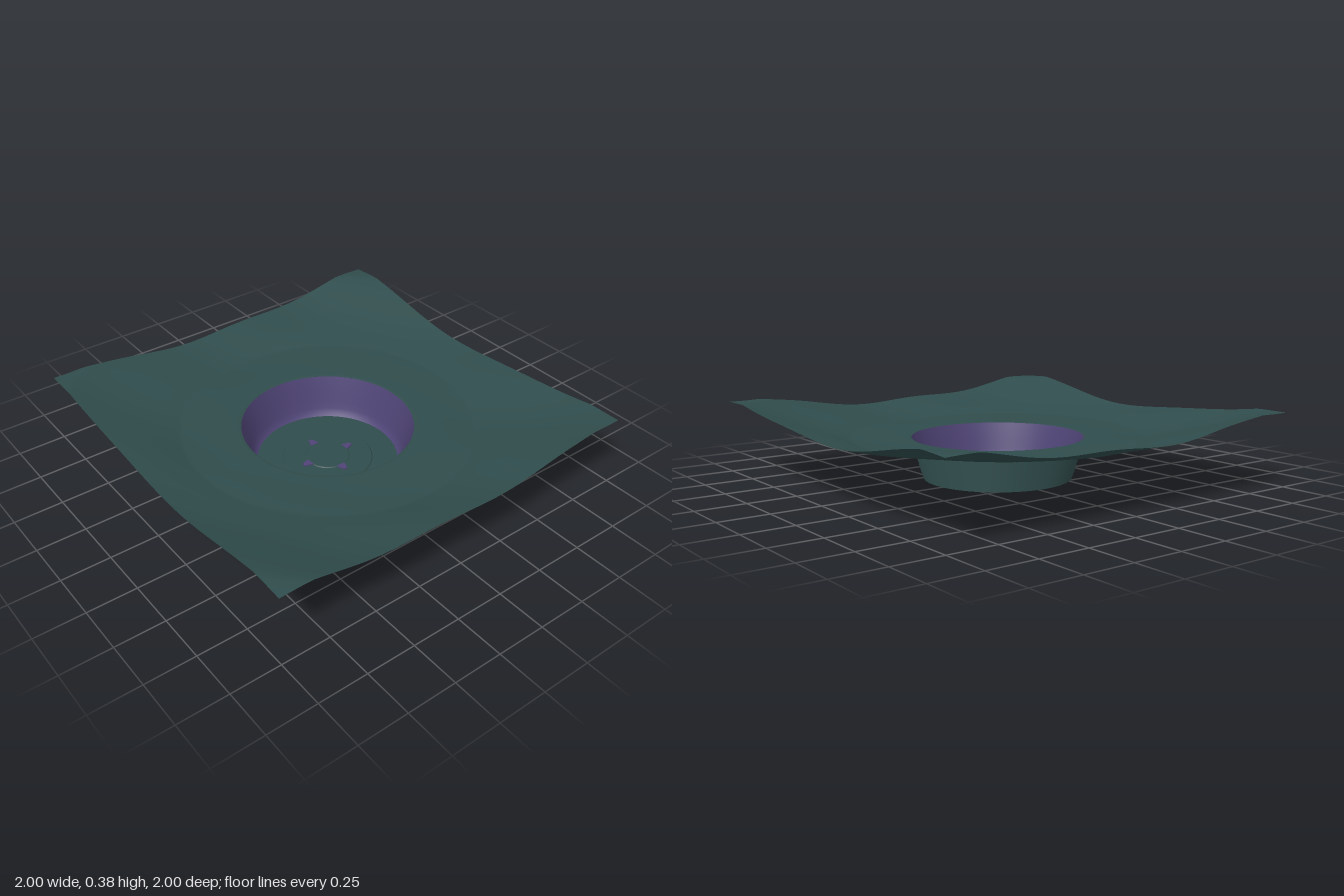
import * as THREE from 'three';
import { toCreasedNormals } from 'three/addons/utils/BufferGeometryUtils.js';

const RIM = 0.435;
const FOOT = 0.36;

// Ground: nearly level around the crater, rising to the corners, with slight diagonal ripples
function groundHeight(x, z) {
  const r = Math.hypot(x, z);
  const slope = Math.min(Math.max(r - 0.74, 0), 0.56) * 0.265;
  const t = THREE.MathUtils.smoothstep(r, RIM, 0.9);
  const ripple = 0.008 * Math.cos(5.2 * x + 8.62 * z) + 0.004 * Math.cos(7 * x - 5 * z);
  return Math.min(0.385, Math.max(0.22, 0.225 + slope + t * ripple));
}

// Steep crater wall with a rounded foot
const wallProfile = [
  [RIM, 0.222], [0.425, 0.19], [0.41, 0.14], [0.396, 0.09],
  [0.384, 0.05], [0.373, 0.025], [FOOT, 0.013],
];

// Radius of the wall at a given height
function wallRadius(y) {
  for (let i = 1; i < wallProfile.length; i++) {
    const [r1, y1] = wallProfile[i - 1];
    const [r0, y0] = wallProfile[i];
    if (y >= y0) return r0 + (r1 - r0) * (y - y0) / (y1 - y0);
  }
  return FOOT;
}

// Sheet from the circular rim out to the square border
function terrainGeometry() {
  const rings = 64, sides = 320;
  const positions = [], indices = [];
  for (let i = 0; i <= rings; i++) {
    const t = i / rings;
    for (let j = 0; j <= sides; j++) {
      const a = (j / sides) * Math.PI * 2;
      const c = Math.cos(a), s = Math.sin(a);
      const edge = 1 / Math.max(Math.abs(c), Math.abs(s));
      const r = RIM + (edge - RIM) * t;
      const x = r * c, z = r * s;
      positions.push(x, i === 0 ? 0.222 : groundHeight(x, z), z);
      if (i < rings && j < sides) {
        const p = i * (sides + 1) + j, q = p + sides + 1;
        indices.push(p, p + 1, q, p + 1, q + 1, q);
      }
    }
  }
  const g = new THREE.BufferGeometry();
  g.setAttribute('position', new THREE.Float32BufferAttribute(positions, 3));
  g.setIndex(indices);
  g.computeVertexNormals();
  return g;
}

// Small terraces on the outside of the crater, listed from the foot up
function terraceProfile() {
  const steps = 12, low = 0.012, high = 0.221;
  const points = [[FOOT, low]];
  for (let i = 0; i < steps; i++) {
    const y0 = low + (high - low) * i / steps;
    const y1 = low + (high - low) * (i + 1) / steps;
    const r = wallRadius(y1) + 0.001;
    points.push([r, y0], [r, y1]);
  }
  return points;
}

function lathe(points, crease) {
  const g = new THREE.LatheGeometry(points.map(([r, y]) => new THREE.Vector2(r, y)), 128);
  return crease ? toCreasedNormals(g, 0.4) : g;
}

export function createModel() {
  const model = new THREE.Group();
  const green = new THREE.MeshStandardMaterial({ color: 0x304c4c, side: THREE.DoubleSide });
  green.name = 'dark teal ground';
  const purple = new THREE.MeshStandardMaterial({ color: 0x4f4476, side: THREE.DoubleSide });
  purple.name = 'muted purple';

  const add = (name, geometry, material) => {
    const mesh = new THREE.Mesh(geometry, material);
    mesh.name = name;
    model.add(mesh);
    return mesh;
  };

  add('terrain', terrainGeometry(), green);

  // Crater: coloured inner wall and plain terraced outside
  add('craterInnerWall', lathe(wallProfile), purple);
  add('craterTerraces', lathe(terraceProfile(), true), green);

  // Floor with two low circular steps
  add('craterFloor', lathe([
    [FOOT + 0.003, 0.013], [0.232, 0.013], [0.226, 0.02],
    [0.114, 0.02], [0.109, 0.024], [0, 0.024],
  ], true), green);

  // Thin coloured ring showing beneath the floor
  add('undersideRing', lathe([
    [0.222, 0.012], [0.222, 0], [0.232, 0], [0.232, 0.012],
  ], true), purple);

  // Four small markers around the inner step
  const marker = new THREE.Shape();
  marker.moveTo(-0.024, 0.022);
  marker.lineTo(0.024, 0.022);
  marker.lineTo(0.01, -0.022);
  marker.lineTo(-0.01, -0.022);
  marker.closePath();
  const markerGeometry = new THREE.ExtrudeGeometry(marker, { depth: 0.006, bevelEnabled: false });
  markerGeometry.rotateX(-Math.PI / 2);
  for (let i = 0; i < 4; i++) {
    const a = (i * Math.PI) / 2;
    const mesh = add('floorMarker', markerGeometry, purple);
    mesh.position.set(Math.sin(a) * 0.13, 0.02, Math.cos(a) * 0.13);
    mesh.rotation.y = a;
  }

  return model;
}
